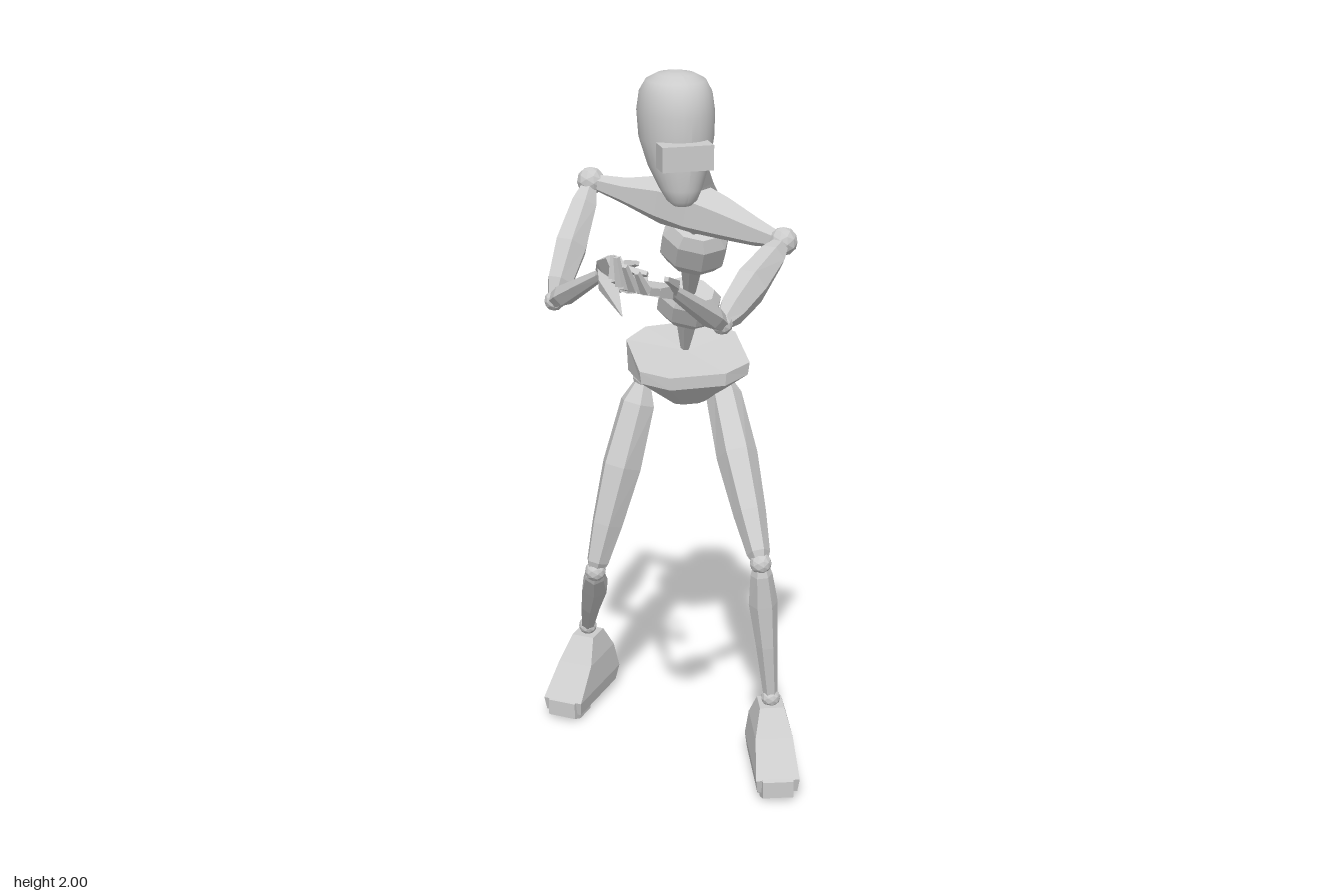
import * as THREE from 'three';

const V = (p) => new THREE.Vector3(...p);

export function createModel() {
  const model = new THREE.Group();
  const flat = new THREE.MeshStandardMaterial({ color: 0xcccccc, flatShading: true });
  const smooth = new THREE.MeshStandardMaterial({ color: 0xcccccc });

  // Lofted part from a to b; rings are [t, halfWidth, halfDepth, offsetX, offsetZ]
  function loft(name, a, b, rings, { sides = 6, front = [0, 0, 1], mat = flat, parent = model } = {}) {
    const from = V(a), dir = V(b).sub(from), len = dir.length();
    const y = dir.normalize();
    const x = new THREE.Vector3().crossVectors(y, V(front)).normalize();
    const z = new THREE.Vector3().crossVectors(x, y);
    const r = sides === 4 ? Math.SQRT2 : 1;
    const geo = new THREE.CylinderGeometry(r, r, 1, sides, rings.length - 1, false, Math.PI / sides);
    const p = geo.attributes.position;
    for (let i = 0; i < p.count; i++) {
      const [t, w, d, ox = 0, oz = 0] = rings[Math.round((p.getY(i) + 0.5) * (rings.length - 1))];
      p.setXYZ(i, p.getX(i) * w + ox, t * len, p.getZ(i) * d + oz);
    }
    geo.computeVertexNormals();
    const mesh = new THREE.Mesh(geo, mat);
    mesh.name = name;
    mesh.quaternion.setFromRotationMatrix(new THREE.Matrix4().makeBasis(x, y, z));
    mesh.position.copy(from);
    parent.add(mesh);
    return mesh;
  }

  function joint(name, at, r) {
    const mesh = new THREE.Mesh(new THREE.IcosahedronGeometry(r, 1), flat);
    mesh.name = name;
    mesh.position.set(...at);
    model.add(mesh);
  }

  // Head, visor and neck
  loft('head', [-0.037, 1.69, 0.09], [-0.037, 2, 0.09], [
    [0, 0.022, 0.02, 0, 0.06], [0.04, 0.037, 0.036, 0, 0.056], [0.13, 0.052, 0.056, 0, 0.045],
    [0.3, 0.074, 0.084, 0, 0.02], [0.5, 0.09, 0.105, 0, 0.003], [0.7, 0.093, 0.113, 0, -0.002],
    [0.85, 0.087, 0.1, 0, -0.002], [0.94, 0.072, 0.078], [0.985, 0.046, 0.05], [1, 0.018, 0.02],
  ], { sides: 28, mat: smooth });
  const visor = new THREE.Mesh(new THREE.BoxGeometry(0.125, 0.06, 0.06), flat);
  visor.name = 'visor';
  visor.position.set(-0.045, 1.82, 0.204);
  model.add(visor);
  loft('neck', [0.065, 1.66, -0.085], [0, 1.82, 0.03],
    [[0, 0.045, 0.04], [0.25, 0.038, 0.036], [1, 0.03, 0.03]], { sides: 4 });

  // Shoulder girdle
  const shoulderL = [0.222, 1.58, 0.142], shoulderR = [-0.18, 1.675, -0.215];
  loft('shoulderGirdle', shoulderR, shoulderL, [
    [0.02, 0.02, 0.02], [0.18, 0.035, 0.03, 0, -0.005], [0.36, 0.065, 0.055, 0, -0.03],
    [0.52, 0.068, 0.08, 0, -0.045], [0.68, 0.055, 0.062, 0, -0.03],
    [0.86, 0.036, 0.035, 0, -0.005], [0.98, 0.02, 0.02],
  ], { front: [-0.67, 0, 0.75] });

  // Spine: chamfered blocks joined by cones that point down
  const hipTop = [0.12, 1.14, -0.4], waist = [0.11, 1.295, -0.325];
  const ribs = [0.085, 1.5, -0.18], chest = [0.065, 1.62, -0.09];
  const twist = [-0.3, 0.3, 0.9];
  const block = (name, c, w, h, d) => {
    const axis = V([-0.03, 0.8, 0.5]).normalize().multiplyScalar(h / 2);
    loft(name, V(c).sub(axis).toArray(), V(c).add(axis).toArray(),
      [[0, w * 0.75, d * 0.75], [0.25, w, d], [0.75, w, d], [1, w * 0.75, d * 0.75]],
      { sides: 8, front: twist });
  };
  block('waistBlock', waist, 0.088, 0.11, 0.06);
  block('ribBlock', ribs, 0.09, 0.13, 0.068);
  for (const [a, b] of [[hipTop, waist], [waist, ribs], [ribs, chest]])
    loft('spineCone', a, b, [[0, 0.012, 0.012], [1, 0.042, 0.038]]);

  // Pelvis: tilted six-sided plate tapering down to a small base
  const pelvisTop = [
    [-0.035, 1.165, -0.45], [0.03, 1.185, -0.49], [0.12, 1.185, -0.5], [0.21, 1.185, -0.49],
    [0.277, 1.165, -0.44], [0.277, 1.12, -0.3], [0.2, 1.105, -0.265], [0.04, 1.105, -0.265], [-0.035, 1.12, -0.3],
  ];
  const mid = pelvisTop.map(([x, y, z]) => [0.12 + (x - 0.12) * 0.97, y - (z < -0.4 ? 0.09 : 0.035), z]);
  const base = pelvisTop.map(([x, , z]) => [0.12 + (x - 0.12) * 0.28, 1.0, -0.385 + (z + 0.385) * 0.4]);
  const layers = [pelvisTop, mid, base], n = pelvisTop.length, tri = [];
  for (let i = 0; i < n; i++) {
    const j = (i + 1) % n;
    for (let k = 0; k < 2; k++) {
      const [u, l] = [layers[k], layers[k + 1]];
      tri.push(u[i], u[j], l[i], u[j], l[j], l[i]);
    }
    tri.push(u0(), pelvisTop[j], pelvisTop[i], [0.12, 1.0, -0.385], base[i], base[j]);
  }
  function u0() { return [0.12, 1.14, -0.385]; }
  const pelvisGeo = new THREE.BufferGeometry();
  pelvisGeo.setAttribute('position', new THREE.Float32BufferAttribute(tri.flat(), 3));
  pelvisGeo.computeVertexNormals();
  const pelvis = new THREE.Mesh(pelvisGeo, new THREE.MeshStandardMaterial({
    color: 0xcccccc, flatShading: true, side: THREE.DoubleSide }));
  pelvis.name = 'pelvis';
  model.add(pelvis);

  // Legs: hip, knee, ankle and the way the toes point
  const legs = [
    { side: 'left', hip: [0.22, 1.065, -0.41], knee: [0.23, 0.64, -0.025], ankle: [0.27, 0.22, -0.04], toe: [-0.18, 0, 0.98] },
    { side: 'right', hip: [0.005, 1.065, -0.41], knee: [-0.16, 0.53, -0.33], ankle: [-0.125, 0.225, -0.607], toe: [-0.6, 0, 0.78] },
  ];
  for (const { side, hip, knee, ankle, toe } of legs) {
    joint(side + 'Hip', hip, 0.032);
    joint(side + 'Knee', knee, 0.03);
    joint(side + 'Ankle', ankle, 0.027);
    loft(side + 'Thigh', hip, knee, [
      [0.03, 0.025, 0.025], [0.13, 0.05, 0.05], [0.45, 0.057, 0.067], [0.75, 0.045, 0.055],
      [0.95, 0.032, 0.038], [1, 0.02, 0.02],
    ], { front: toe });
    loft(side + 'Shin', knee, ankle, [
      [0, 0.02, 0.02], [0.08, 0.03, 0.03], [0.3, 0.04, 0.042, 0, -0.01],
      [0.6, 0.03, 0.03], [0.97, 0.02, 0.02],
    ], { front: toe });
    const [x, , z] = ankle;
    loft(side + 'Foot', [x, 0.02, z], [x, 0.205, z], [
      [0, 0.055, 0.125, 0, 0.05], [0.22, 0.06, 0.138, 0, 0.045],
      [0.65, 0.052, 0.082, 0, 0.01], [1, 0.034, 0.036],
    ], { sides: 4, front: toe });
    const at = (d) => [x + toe[0] * d, 0.035, z + toe[2] * d];
    loft(side + 'Toe', at(0.09), at(0.192), [[0, 0.046, 0.035], [0.7, 0.046, 0.035], [1, 0.042, 0.024, 0, 0]],
      { sides: 4, front: [0, 1, 0] });
  }

  // Arms
  const arms = [
    { side: 'left', shoulder: shoulderL, elbow: [0, 1.455, 0.37], wrist: [-0.17, 1.6, 0.54] },
    { side: 'right', shoulder: shoulderR, elbow: [-0.315, 1.415, -0.05], wrist: [-0.24, 1.54, 0.17] },
  ];
  for (const { side, shoulder, elbow, wrist } of arms) {
    joint(side + 'Shoulder', shoulder, 0.036);
    joint(side + 'Elbow', elbow, 0.026);
    joint(side + 'Wrist', wrist, 0.018);
    loft(side + 'UpperArm', shoulder, elbow, [
      [0.05, 0.022, 0.022], [0.2, 0.036, 0.037], [0.55, 0.043, 0.052],
      [0.85, 0.034, 0.04], [1, 0.018, 0.018],
    ], { front: [0, 1, 0] });
    loft(side + 'Forearm', elbow, wrist,
      [[0, 0.02, 0.02], [0.2, 0.03, 0.028], [0.55, 0.024, 0.022], [1, 0.014, 0.014]], { front: [0, 1, 0] });
  }

  // Hands: a palm and bent digits given as knuckle, middle and tip
  function hand(side, wrist, palmEnd, up, digits) {
    const group = new THREE.Group();
    group.name = side + 'Hand';
    loft(side + 'Palm', wrist, palmEnd, [[0, 0.016, 0.012], [0.45, 0.04, 0.015], [1, 0.044, 0.01]],
      { sides: 4, front: up, parent: group });
    for (const [a, b, c] of digits) {
      loft('fingerBase', a, b, [[0, 0.008, 0.008], [1, 0.008, 0.008]], { sides: 4, front: [0.6, 0.1, 0.7], parent: group });
      loft('fingerTip', b, c, [[0, 0.009, 0.009], [1, 0.005, 0.005]], { sides: 4, front: [0.6, 0.1, 0.7], parent: group });
    }
    model.add(group);
  }
  hand('left', [-0.17, 1.6, 0.54], [-0.25, 1.625, 0.61], [0, 1, 0], [
    [[-0.272, 1.625, 0.582], [-0.31, 1.65, 0.59], [-0.31, 1.7, 0.585]],
    [[-0.26, 1.625, 0.6], [-0.305, 1.645, 0.632], [-0.315, 1.71, 0.635]],
    [[-0.24, 1.625, 0.62], [-0.285, 1.645, 0.668], [-0.31, 1.705, 0.69]],
    [[-0.225, 1.625, 0.635], [-0.26, 1.64, 0.675], [-0.285, 1.69, 0.695]],
    [[-0.175, 1.61, 0.59], [-0.18, 1.635, 0.62], [-0.215, 1.665, 0.675]],
  ]);
  hand('right', [-0.24, 1.54, 0.17], [-0.235, 1.575, 0.3], [0.8, 0.3, 0], [
    [[-0.23, 1.605, 0.29], [-0.235, 1.6, 0.35], [-0.185, 1.595, 0.39]],
    [[-0.23, 1.585, 0.3], [-0.225, 1.585, 0.36], [-0.18, 1.58, 0.375]],
    [[-0.23, 1.565, 0.3], [-0.215, 1.56, 0.345], [-0.175, 1.565, 0.33]],
    [[-0.235, 1.545, 0.29], [-0.21, 1.54, 0.32], [-0.175, 1.545, 0.295]],
    [[-0.23, 1.56, 0.21], [-0.195, 1.575, 0.23], [-0.18, 1.59, 0.275]],
  ]);

  // Thin blade along the right hand
  loft('rightHandBlade', [-0.245, 1.55, 0.19], [-0.272, 1.535, 0.5],
    [[0, 0.012, 0.012], [0.3, 0.022, 0.012], [1, 0.001, 0.001]], { sides: 4, front: [0, 1, 0] });

  return model;
}
